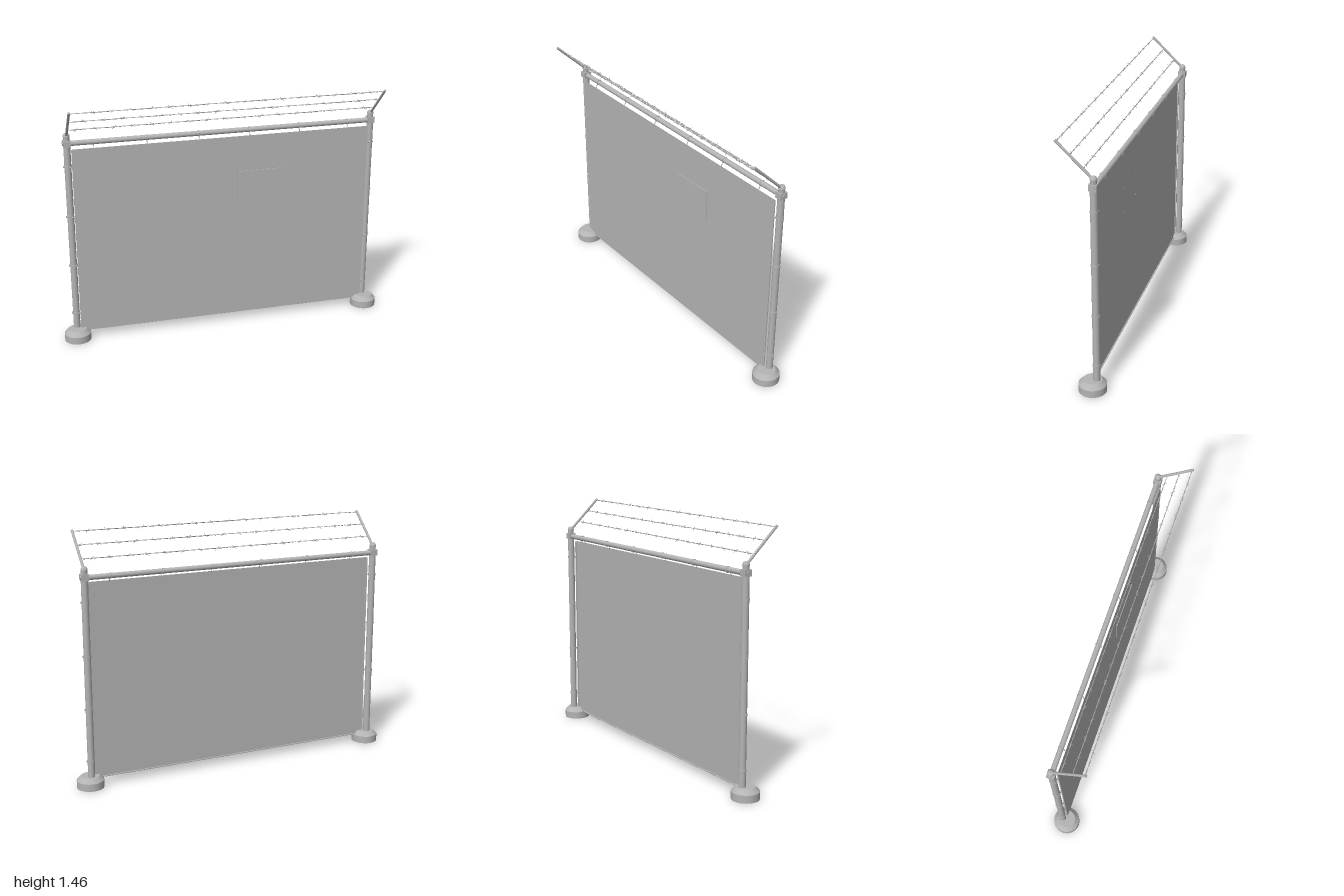
import * as THREE from 'three';

export function createModel() {
  const root = new THREE.Group();
  root.name = 'fenceSection';
  const steel = new THREE.MeshStandardMaterial({ color: 0xb4b4b4 });
  steel.name = 'galvanised steel';
  const meshMat = new THREE.MeshStandardMaterial({ color: 0xb4b4b4, side: THREE.DoubleSide });
  meshMat.name = 'fence mesh grey';

  const POST_X = 0.92, POST_Z = -0.075, PANEL_Z = -0.051, RAIL_Y = 1.226;
  const V = (x, y, z) => new THREE.Vector3(x, y, z);

  function add(parent, name, geo, x = 0, y = 0, z = 0, mat = steel) {
    const m = new THREE.Mesh(geo, mat);
    m.name = name;
    m.position.set(x, y, z);
    parent.add(m);
    return m;
  }
  // Round bar between two points
  function bar(parent, name, a, b, r, sides = 12) {
    const m = add(parent, name, new THREE.CylinderGeometry(r, r, a.distanceTo(b), sides));
    m.position.copy(a).add(b).multiplyScalar(0.5);
    m.quaternion.setFromUnitVectors(V(0, 1, 0), b.clone().sub(a).normalize());
    return m;
  }
  const lathe = (pts, seg) =>
    new THREE.LatheGeometry(pts.map(([r, y]) => new THREE.Vector2(r, y)), seg);

  // Arm geometry shared by the posts and the wires
  const armFoot = V(0, 1.268, POST_Z), armTip = V(0, 1.458, 0.125);

  for (const s of [-1, 1]) {
    const post = new THREE.Group();
    post.name = s > 0 ? 'leftPost' : 'rightPost';
    root.add(post);
    const x = s * POST_X;

    // Chamfered concrete footing, built from flat-sided rings
    add(post, 'footingBase', new THREE.CylinderGeometry(0.079, 0.079, 0.044, 32), x, 0.022, -0.051);
    add(post, 'footingChamfer', new THREE.CylinderGeometry(0.054, 0.079, 0.026, 32), x, 0.057, -0.051);

    add(post, 'postTube', new THREE.CylinderGeometry(0.02, 0.02, 1.19, 20), x, 0.645, POST_Z);

    // Rail clamp with bolt head
    add(post, 'clampBlock', new THREE.BoxGeometry(0.042, 0.036, 0.046), x, 1.228, POST_Z);
    bar(post, 'clampBolt', V(x - 0.026, 1.228, POST_Z), V(x + 0.026, 1.228, POST_Z), 0.012);

    // Domed cap
    add(post, 'postCap', lathe([[0.018, 0], [0.018, 0.018], [0.02, 0.02], [0.019, 0.029],
      [0.014, 0.038], [0.007, 0.043], [0, 0.044]], 20), x, 1.246, POST_Z);

    // Outrigger arm leaning to the front
    bar(post, 'outriggerArm', armFoot.clone().setX(x), armTip.clone().setX(x), 0.0075);

    // Tension bar and the bands that hold it to the post
    const barX = s * 0.894;
    add(post, 'tensionBar', new THREE.BoxGeometry(0.009, 1.12, 0.007), barX, 0.632, PANEL_Z - 0.003);
    for (const y of [0.166, 0.475, 0.783, 1.09]) {
      add(post, 'tensionBand', new THREE.CylinderGeometry(0.0225, 0.0225, 0.011, 20), x, y, POST_Z);
      bar(post, 'bandBolt', V(x + s * 0.018, y, POST_Z), V(x + s * 0.027, y, POST_Z), 0.005, 6);
      bar(post, 'bandHook', V(x, y, POST_Z + 0.019), V(barX, y, PANEL_Z - 0.002), 0.004, 6);
    }
  }

  // Top rail with ties reaching down to the mesh
  bar(root, 'topRail', V(-POST_X, RAIL_Y, POST_Z), V(POST_X, RAIL_Y, POST_Z), 0.015, 16);
  for (let i = 0; i < 6; i++) {
    const x = -0.77 + i * 0.308;
    const tie = add(root, 'railTie', new THREE.TorusGeometry(0.0165, 0.002, 6, 16), x, RAIL_Y, POST_Z);
    tie.rotation.y = Math.PI / 2;
    bar(root, 'tieTail', V(x, RAIL_Y - 0.008, POST_Z + 0.014), V(x, 1.188, PANEL_Z), 0.002, 6);
  }

  // Mesh panel and its bottom wire
  add(root, 'meshPanel', new THREE.PlaneGeometry(1.788, 1.146), 0, 0.623, PANEL_Z, meshMat);
  bar(root, 'bottomWire', V(-0.894, 0.052, PANEL_Z - 0.004), V(0.894, 0.052, PANEL_Z - 0.004), 0.004, 8);

  // Blank sign with four fixings that pass through the mesh
  add(root, 'signPlate', new THREE.BoxGeometry(0.278, 0.182, 0.004), 0.214, 0.888, PANEL_Z + 0.005);
  for (const sx of [-1, 1]) for (const sy of [-1, 1]) {
    const x = 0.214 + sx * 0.125, y = 0.888 + sy * 0.076;
    bar(root, 'signFixing', V(x, y, PANEL_Z - 0.004), V(x, y, PANEL_Z + 0.008), 0.003, 8);
  }

  // Barbed wires: two twisted strands with crossed barbs
  [[1.32, 0], [1.386, 0.04], [1.452, 0.08]].forEach(([y, shift], row) => {
    const t = (y - armFoot.y) / (armTip.y - armFoot.y);
    const z = THREE.MathUtils.lerp(armFoot.z, armTip.z, t);
    const wire = new THREE.Group();
    wire.name = 'barbedWire' + (row + 1);
    wire.position.set(0, y, z);
    root.add(wire);
    for (const phase of [0, Math.PI]) {
      const pts = [];
      for (let i = 0; i <= 160; i++) {
        const a = i * 0.8 + phase;
        pts.push(V(-POST_X + i * 2 * POST_X / 160, 0.0016 * Math.cos(a), 0.0016 * Math.sin(a)));
      }
      add(wire, 'strand', new THREE.TubeGeometry(new THREE.CatmullRomCurve3(pts), 320, 0.0014, 5));
    }
    for (let x = -0.87 + shift; x < 0.9; x += 0.108) {
      const a = x * 23 + row;
      for (const side of [-1, 1]) {
        const d = V(side * 0.011, 0.011 * Math.cos(a + side * 0.8), 0.011 * Math.sin(a + side * 0.8));
        bar(wire, 'barb', V(x, 0, 0).sub(d), V(x, 0, 0).add(d), 0.0012, 5);
      }
      bar(wire, 'barbCoil', V(x - 0.005, 0, 0), V(x + 0.005, 0, 0), 0.0034, 6);
    }
  });

  return root;
}
